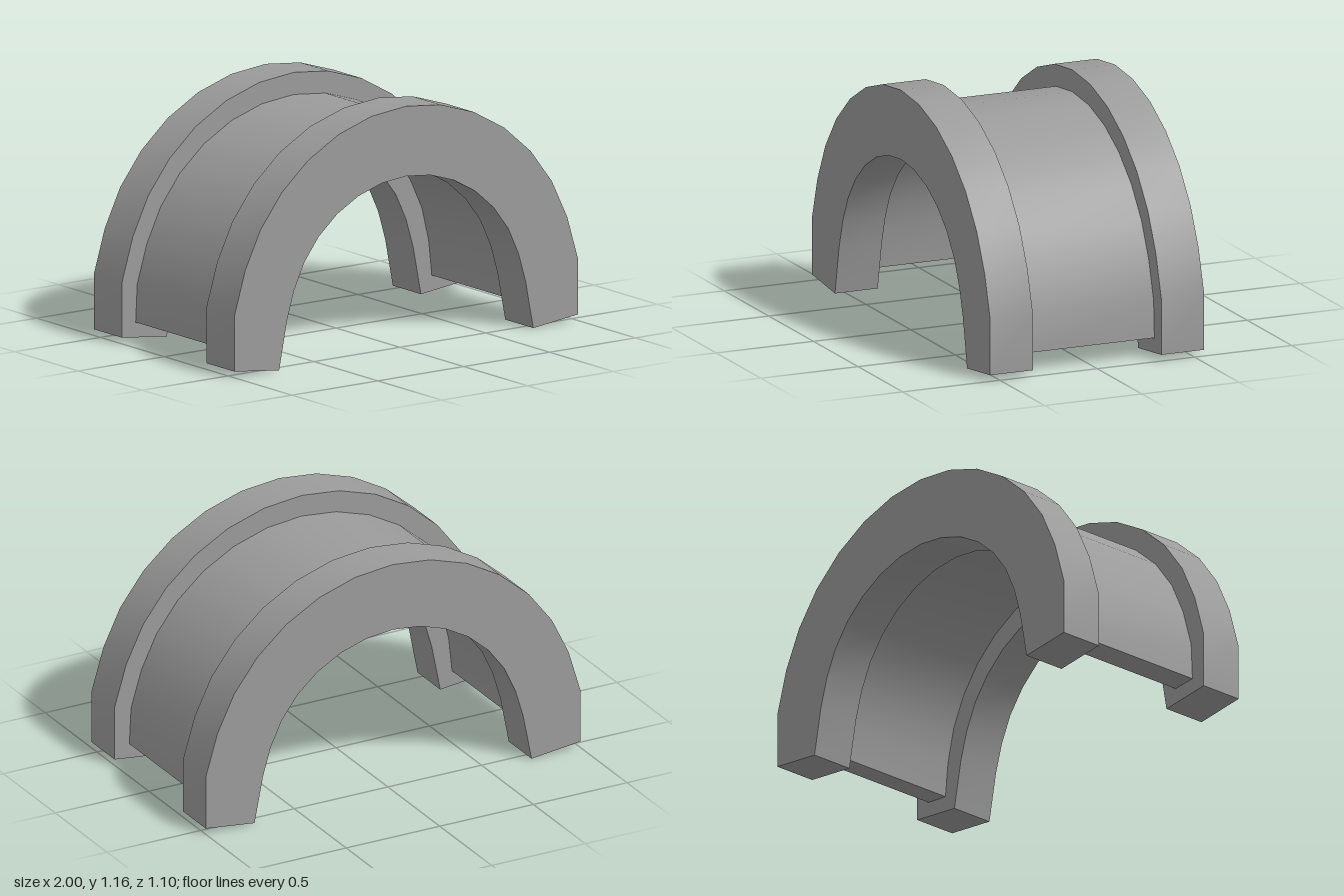
import * as THREE from 'three';
import { toCreasedNormals } from 'three/addons/utils/BufferGeometryUtils.js';

const material = new THREE.MeshStandardMaterial({ color: 0x9b9b9b });
const CENTRE = 0.153;

// Symmetric arch line, right foot to left foot: faceted arc with straight leg points
function archLine(radiusX, radiusY, stepDegrees, leg) {
  const half = [];
  for (let k = 0; k <= 6; k++) {
    const angle = THREE.MathUtils.degToRad(k * stepDegrees);
    half.push([radiusX * Math.sin(angle), CENTRE + radiusY * Math.cos(angle)]);
  }
  half.push(...leg);
  const mirrored = half.slice(1).map(([x, y]) => [-x, y]);
  return [...half.reverse(), ...mirrored].map(([x, y]) => new THREE.Vector2(x, y));
}

// Solid half ring between two arch lines, running from z0 to z1
function archBand(name, outer, inner, z0, z1) {
  const shape = new THREE.Shape([...outer, ...inner.slice().reverse()]);
  const geometry = new THREE.ExtrudeGeometry(shape, { depth: z1 - z0, bevelEnabled: false });
  geometry.translate(0, 0, z0);
  const mesh = new THREE.Mesh(toCreasedNormals(geometry, 0.5), material);
  mesh.name = name;
  return mesh;
}

export function createModel() {
  const group = new THREE.Group();
  group.name = 'halfBearingShell';

  // Thick flanges at both ends
  const flangeOuter = archLine(1, 1.012, 11.6, [[1, 0.297], [1, 0.03]]);
  const flangeInner = archLine(0.69, 0.677, 11.9, [[0.695, 0.23], [0.74, 0]]);
  group.add(archBand('frontFlange', flangeOuter, flangeInner, 0.33, 0.55));
  group.add(archBand('backFlange', flangeOuter, flangeInner, -0.55, -0.33));

  // Thinner sleeve between them, recessed inside and outside
  const sleeveOuter = archLine(0.91, 0.906, 11.7, [[0.912, 0.275], [0.921, 0.093]]);
  const sleeveInner = archLine(0.79, 0.788, 11.8, [[0.785, 0.25], [0.803, 0.082]]);
  group.add(archBand('sleeve', sleeveOuter, sleeveInner, -0.33, 0.33));

  return group;
}
